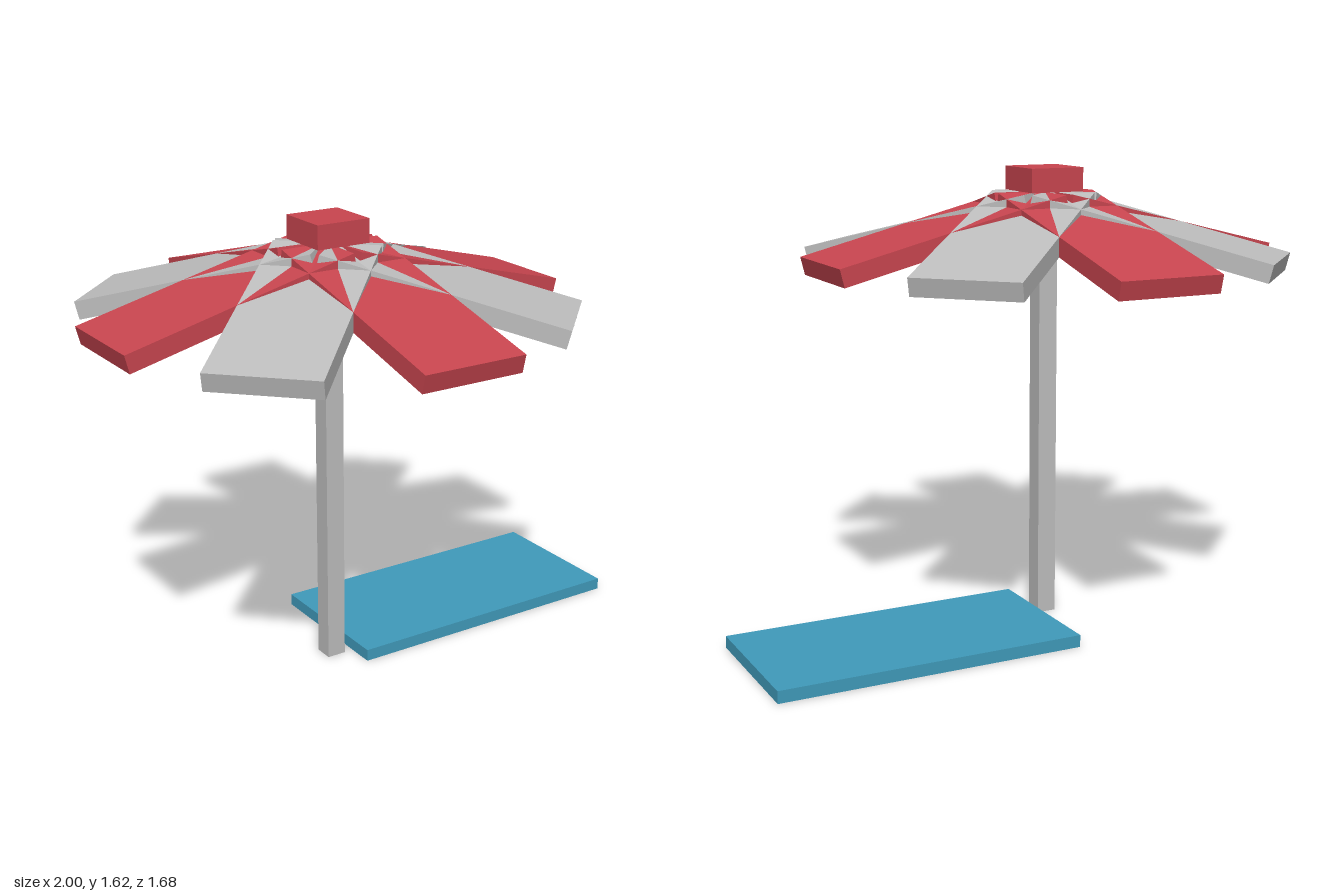
import * as THREE from 'three';

// Hollow box without a floor; its top face lies at y = 0 and is centred
function openBox(w, h, d) {
  const g = new THREE.BoxGeometry(w, h, d).translate(0, -h / 2, 0);
  const index = Array.from(g.index.array);
  index.splice(18, 6); // drop the bottom face
  g.setIndex(index);
  g.clearGroups();
  return g;
}

export function createModel() {
  const make = (name, color) => {
    const m = new THREE.MeshStandardMaterial({ color, side: THREE.DoubleSide });
    m.name = name;
    return m;
  };
  const red = make('red', 0xc8454f);
  const grey = make('grey', 0xbdbdbd);
  const blue = make('blue', 0x409aba);

  const model = new THREE.Group();
  model.name = 'parasolAndTowel';
  const add = (parent, name, geometry, material, x, y, z) => {
    const mesh = new THREE.Mesh(geometry, material);
    mesh.name = name;
    mesh.position.set(x, y, z);
    parent.add(mesh);
    return mesh;
  };

  // Parasol: pole, cap and canopy share one axis
  const parasol = new THREE.Group();
  parasol.name = 'parasol';
  parasol.position.x = -0.163;
  model.add(parasol);
  add(parasol, 'pole', openBox(0.07, 1.5, 0.07), grey, 0, 1.5, 0);
  add(parasol, 'cap', openBox(0.2, 0.083, 0.2), red, 0, 1.621, 0);

  // Eight sloping canopy panels in alternating colours
  const inner = { r: 0.015, y: 1.535 };
  const outer = { r: 0.838, y: 1.33 };
  const run = outer.r - inner.r;
  const drop = inner.y - outer.y;
  const panel = openBox(0.372, 0.064, Math.hypot(run, drop));
  panel.rotateX(Math.atan2(drop, run));
  panel.translate(0, (inner.y + outer.y) / 2, (inner.r + outer.r) / 2);
  for (let i = 0; i < 8; i++) {
    const mesh = add(parasol, `canopyPanel${i + 1}`, panel, i % 2 ? grey : red, 0, 0, 0);
    mesh.rotation.y = i * Math.PI / 4;
  }

  // Towel on the ground beside the pole
  add(model, 'towel', openBox(1.094, 0.043, 0.544), blue, 0.453, 0.043, -0.137);
  return model;
}
